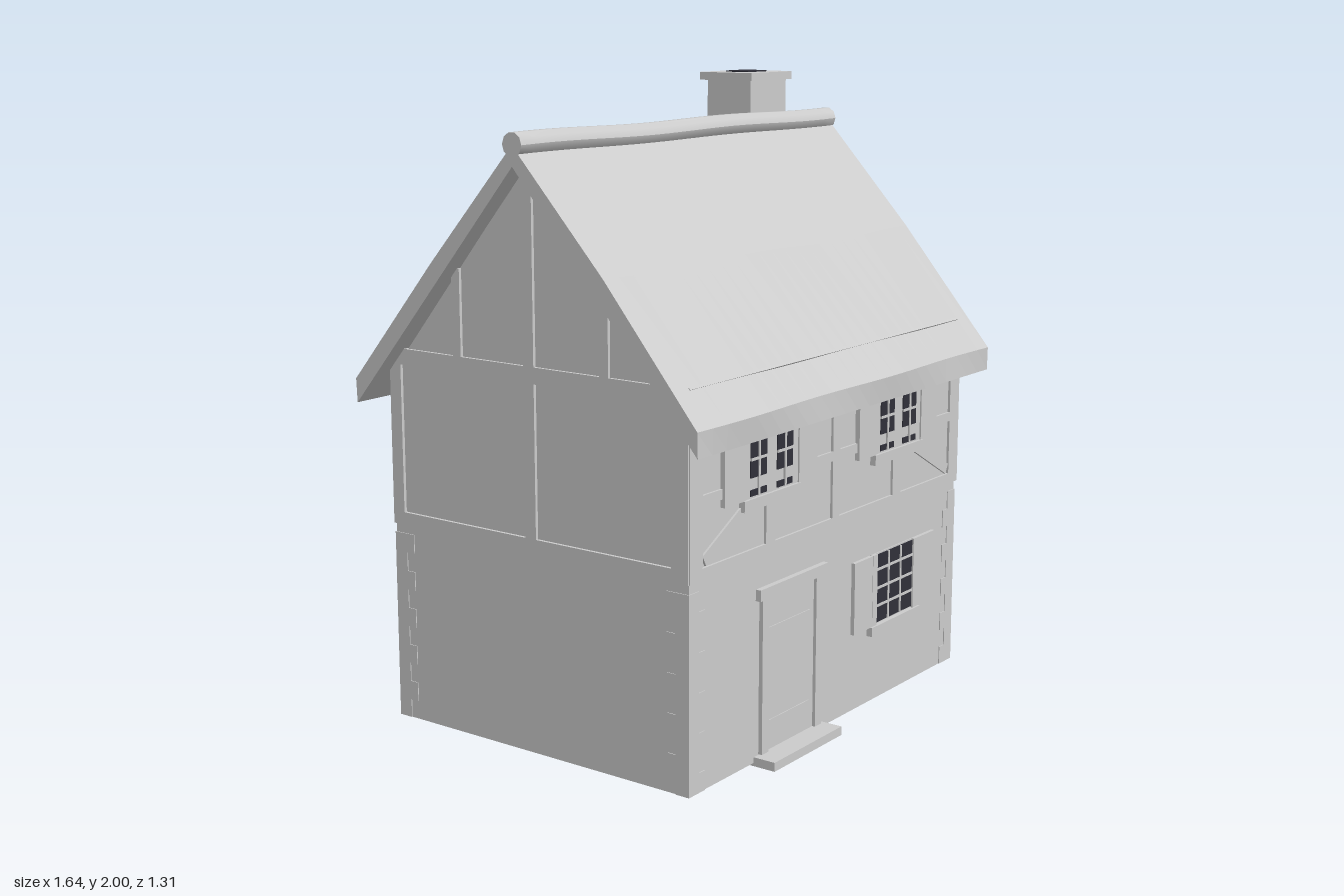
import * as THREE from 'three';

export function createModel() {
  const house = new THREE.Group();
  house.name = 'cottage';
  const stone = new THREE.MeshStandardMaterial({ name: 'pale grey', color: 0xcccccc, side: THREE.DoubleSide });
  const dark = new THREE.MeshStandardMaterial({ name: 'dark glass', color: 0x30303a });

  const add = (name, geo, mat = stone) => {
    const m = new THREE.Mesh(geo, mat);
    m.name = name;
    house.add(m);
    return m;
  };
  // Box given by its limits on each axis
  const box = (name, x0, x1, y0, y1, z0, z1, mat) => {
    const m = add(name, new THREE.BoxGeometry(x1 - x0, y1 - y0, z1 - z0), mat);
    m.position.set((x0 + x1) / 2, (y0 + y1) / 2, (z0 + z1) / 2);
    return m;
  };
  // Part standing proud of the front wall and reaching a little inside
  const front = (name, x0, x1, y0, y1, z1, mat) => box(name, x0, x1, y0, y1, 0.555, z1, mat);

  // Thin wall shell, open underneath
  const ZF = 0.57, ZB = -0.56, XW = 0.755;
  for (const [name, z] of [['frontWall', ZF], ['backWall', ZB]]) {
    add(name, new THREE.PlaneGeometry(XW * 2, 1.1)).position.set(0, 0.56, z);
  }
  const gable = new THREE.Shape([[-ZF, 0.01], [-ZB, 0.01], [-ZB, 1.11], [0, 1.78], [-ZF, 1.11]]
    .map(p => new THREE.Vector2(...p)));
  for (const s of [-1, 1]) {
    const g = add('gableWall', new THREE.ShapeGeometry(gable));
    g.rotation.y = Math.PI / 2;
    g.position.x = s * XW;
  }

  // Corner stones, alternately long and short
  for (const sx of [-1, 1]) for (const sz of [-1, 1]) for (let i = 0; i < 10; i++) {
    const a = i % 2 ? 0.045 : 0.075, b = i % 2 ? 0.075 : 0.045;
    const zc = sz > 0 ? ZF : ZB;
    box('cornerStone', ...[sx * (XW + 0.003), sx * (XW - a)].sort((p, q) => p - q),
      0.01 + i * 0.06, 0.07 + i * 0.06, ...[zc + sz * 0.003, zc - sz * b].sort((p, q) => p - q));
  }

  // Timber framing on both gables
  for (const s of [-1, 1]) {
    const beam = (name, z0, z1, y0, y1) =>
      box(name, ...[s * 0.735, s * 0.765].sort((p, q) => p - q), y0, y1, z0, z1);
    beam('gableSill', -0.56, 0.575, 0.64, 0.68);
    beam('gableTieBeam', -0.54, 0.55, 1.145, 1.195);
    beam('gablePost', 0.515, 0.575, 0.68, 1.145);
    beam('gablePost', -0.56, -0.515, 0.68, 1.145);
    beam('gablePost', -0.02, 0.02, 0.68, 1.145);
    beam('kingPost', -0.02, 0.02, 1.195, 1.77);
    for (const z of [-0.28, 0.28]) beam('gableStud', z - 0.016, z + 0.016, 1.195, 1.46);
  }

  // Timber framing on the upper front
  front('frontSill', -0.755, 0.755, 0.64, 0.675, 0.578);
  front('middleRail', -0.755, 0.755, 0.855, 0.885, 0.578);
  front('wallPlate', -0.755, 0.755, 1.05, 1.09, 0.578);
  for (const s of [-1, 1]) {
    front('cornerPost', s * 0.73 - 0.03, s * 0.73 + 0.03, 0.64, 1.09, 0.578);
    front('stud', s * 0.36 - 0.025, s * 0.36 + 0.025, 0.675, 0.855, 0.578);
    const brace = add('brace', new THREE.BoxGeometry(0.32, 0.035, 0.022));
    brace.position.set(s * 0.55, 0.77, 0.566);
    brace.rotation.z = -s * 0.5;
  }
  front('stud', -0.025, 0.015, 0.675, 1.09, 0.578);

  // Upper casement windows, each with two lights and shutters
  for (const cx of [-0.365, 0.355]) {
    front('windowFrame', cx - 0.145, cx + 0.145, 0.83, 1.08, 0.581);
    front('windowSill', cx - 0.148, cx + 0.148, 0.797, 0.83, 0.59);
    for (const s of [-1, 1]) {
      const c = cx + s * 0.068;
      box('glass', c - 0.041, c + 0.041, 0.89, 1.06, 0.58, 0.584, dark);
      box('lowerGlass', c - 0.04, c + 0.04, 0.836, 0.855, 0.58, 0.584, dark);
      front('glazingBar', c - 0.004, c + 0.004, 0.835, 1.06, 0.587);
      for (const y of [0.945, 1.005]) front('glazingBar', c - 0.041, c + 0.041, y - 0.004, y + 0.004, 0.587);
      const h = cx + s * 0.19;
      front('shutter', h - 0.05, h + 0.05, 0.83, 1.08, 0.586);
    }
  }

  // Ground floor window
  front('windowBack', 0.215, 0.5, 0.265, 0.5, 0.574);
  box('glass', 0.243, 0.47, 0.27, 0.495, 0.574, 0.578, dark);
  box('glassInside', 0.243, 0.47, 0.27, 0.495, 0.55, 0.555, dark);
  front('windowSill', 0.205, 0.508, 0.235, 0.265, 0.59);
  for (const x of [0.23, 0.485]) front('windowJamb', x - 0.014, x + 0.014, 0.265, 0.5, 0.583);
  for (const x of [0.319, 0.394]) front('glazingBar', x - 0.004, x + 0.004, 0.27, 0.495, 0.581);
  for (const y of [0.326, 0.385, 0.447]) front('glazingBar', 0.243, 0.47, y - 0.004, y + 0.004, 0.581);
  for (const x of [0.16, 0.553]) front('shutter', x - 0.054, x + 0.054, 0.265, 0.5, 0.583);

  // Door with frame, hinges and step
  front('door', -0.37, -0.115, 0.03, 0.51, 0.573);
  for (const x of [-0.388, -0.098]) front('doorJamb', x - 0.018, x + 0.018, 0.03, 0.51, 0.583);
  front('doorLintel', -0.425, -0.06, 0.51, 0.545, 0.588);
  for (const y of [0.12, 0.41]) front('doorHinge', -0.365, -0.14, y - 0.004, y + 0.004, 0.576);
  box('doorStep', -0.43, -0.06, 0, 0.028, 0.55, 0.645);

  // Thatched roof: a cross-section swept along x with a gentle wave
  const wave = (x, k) => 0.005 * Math.sin(x * 8 + k);
  const section = x => [
    [0.648, 1.02], [0.648 + wave(x, 0), 1.095], [0.325, 1.478 + wave(x, 2)], [0, 1.835],
    [-0.325, 1.478 + wave(x, 4)], [-0.648 - wave(x, 1), 1.095], [-0.648, 1.02], [0, 1.775],
  ];
  const N = 24, pos = [], idx = [];
  for (let i = 0; i <= N; i++) {
    const x = -0.82 + 1.64 * i / N;
    for (const [z, y] of section(x)) pos.push(x, y, z);
  }
  for (let i = 0; i < N; i++) for (let j = 0; j < 8; j++) {
    const a = i * 8 + j, b = i * 8 + (j + 1) % 8;
    idx.push(a, a + 8, b, b, a + 8, b + 8);
  }
  for (const [a, b, c] of [[0, 1, 2], [0, 2, 7], [2, 3, 7], [3, 4, 7], [4, 6, 7], [4, 5, 6]]) {
    idx.push(a, b, c, N * 8 + a, N * 8 + c, N * 8 + b);
  }
  let roof = new THREE.BufferGeometry();
  roof.setAttribute('position', new THREE.Float32BufferAttribute(pos, 3));
  roof.setIndex(idx);
  roof = roof.toNonIndexed();
  roof.computeVertexNormals();
  add('roof', roof);

  // Binding rods just breaking the roof surface
  for (const s of [-1, 1]) {
    const rod = add('roofRod', new THREE.BoxGeometry(1.5, 0.008, 0.008));
    rod.position.set(0, 1.192, s * 0.566);
    rod.rotation.x = s * 0.86;
  }

  // Rounded ridge with a slight sag
  const ridge = new THREE.CylinderGeometry(0.036, 0.036, 1.64, 10, 24);
  ridge.rotateZ(Math.PI / 2);
  const p = ridge.attributes.position;
  for (let i = 0; i < p.count; i++) p.setY(i, p.getY(i) + 0.003 * Math.sin(p.getX(i) * 7));
  ridge.computeVertexNormals();
  add('ridge', ridge).position.y = 1.835;

  // Chimney with cap and flue
  box('chimney', 0.443, 0.653, 1.5, 1.97, -0.235, -0.06);
  box('chimneyCap', 0.427, 0.667, 1.97, 1.996, -0.256, -0.046);
  box('flue', 0.493, 0.603, 1.994, 2, -0.195, -0.105, dark);

  return house;
}
